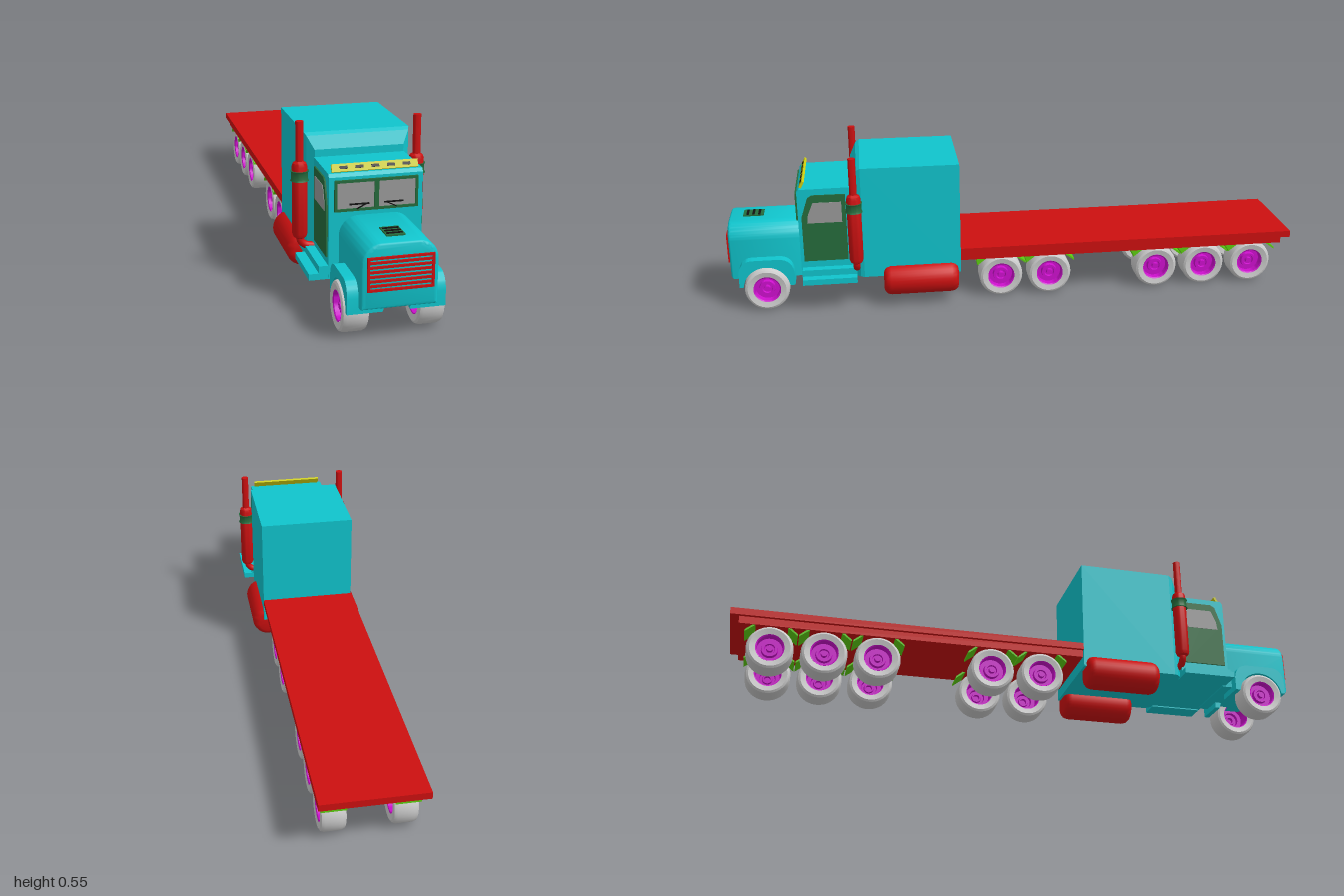
import * as THREE from 'three';
import { toCreasedNormals } from 'three/addons/utils/BufferGeometryUtils.js';

const mat = (color, side = THREE.FrontSide) => new THREE.MeshStandardMaterial({ color, side });
const CYAN = mat(0x10c4cc), RED = mat(0xcc1010), GREEN = mat(0x256b3c), YELLOW = mat(0xcccc10);
const MAGENTA = mat(0xcc10cc, THREE.DoubleSide), LIME = mat(0x5ccc10), GREY = mat(0xcccccc);
const GLASS = mat(0x999999), BLACK = mat(0x111111);
const V2 = (pts) => pts.map(([x, y]) => new THREE.Vector2(x, y));

export function createModel() {
  const truck = new THREE.Group();
  const add = (name, geo, material, x = 0, y = 0, z = 0, parent = truck) => {
    const m = new THREE.Mesh(geo, material);
    m.name = name;
    m.position.set(x, y, z);
    parent.add(m);
    return m;
  };
  // box given by its limits
  const block = (name, material, x0, x1, y0, y1, z0, z1) =>
    add(name, new THREE.BoxGeometry(x1 - x0, y1 - y0, z1 - z0), material,
      (x0 + x1) / 2, (y0 + y1) / 2, (z0 + z1) / 2);
  // side profile in (z, y), extruded across x and centred there
  const sideExtrude = (shape, width) => toCreasedNormals(
    new THREE.ExtrudeGeometry(shape, { depth: width, bevelEnabled: false, curveSegments: 12 })
      .translate(0, 0, -width / 2).rotateY(-Math.PI / 2), 0.6);
  const lathe = (pts, n = 32) => toCreasedNormals(new THREE.LatheGeometry(V2(pts), n).toNonIndexed(), 0.6);
  const frame = (w, h, t) => {
    const s = new THREE.Shape(V2([[-w, -h], [w, -h], [w, h], [-w, h]]));
    s.holes.push(new THREE.Path(V2([[-w + t, -h + t], [-w + t, h - t], [w - t, h - t], [w - t, -h + t]])));
    return new THREE.ExtrudeGeometry(s, { depth: 0.008, bevelEnabled: false });
  };

  // flatbed
  block('deck', RED, -0.168, 0.168, 0.175, 0.198, -1, 0.2);
  block('deckFrame', RED, -0.156, 0.156, 0.15, 0.176, -0.97, 0.2);

  // sleeper: rectangular sections, drawn in towards the front
  const sections = [[0.2, 0.168, 0.508], [0.535, 0.168, 0.508], [0.548, 0.163, 0.5], [0.568, 0.142, 0.46]];
  const pos = [];
  const ring = ([z, w, h]) => [[-w, 0.112, z], [w, 0.112, z], [w, h, z], [-w, h, z]];
  const quad = (a, b, c, d) => pos.push(...a, ...b, ...c, ...a, ...c, ...d);
  for (let i = 0; i < sections.length - 1; i++) {
    const a = ring(sections[i]), b = ring(sections[i + 1]);
    for (let j = 0; j < 4; j++) quad(a[j], a[(j + 1) % 4], b[(j + 1) % 4], b[j]);
  }
  const back = ring(sections[0]), front = ring(sections[3]);
  quad(back[3], back[2], back[1], back[0]);
  quad(...front);
  const sleeper = new THREE.BufferGeometry();
  sleeper.setAttribute('position', new THREE.Float32BufferAttribute(pos, 3));
  sleeper.computeVertexNormals();
  add('sleeper', sleeper, CYAN);

  // cab with a softened front roof edge
  add('cab', sideExtrude(new THREE.Shape(V2([[0.54, 0.112], [0.75, 0.112], [0.75, 0.425],
    [0.742, 0.435], [0.54, 0.437]])), 0.288), CYAN);

  // hood with arched section
  const arch = new THREE.Shape();
  arch.moveTo(-0.113, 0.108);
  arch.lineTo(0.113, 0.108);
  arch.lineTo(0.113, 0.245);
  arch.absarc(0.053, 0.245, 0.06, 0, Math.PI / 2, false);
  arch.absarc(-0.053, 0.245, 0.06, Math.PI / 2, Math.PI, false);
  add('hood', toCreasedNormals(new THREE.ExtrudeGeometry(arch, { depth: 0.235, bevelThickness: 0.012,
    bevelSize: 0.012, bevelOffset: -0.012, bevelSegments: 4, curveSegments: 10 }), 0.6), CYAN, 0, 0, 0.747);
  block('hoodVent', GREEN, -0.028, 0.028, 0.3, 0.309, 0.875, 0.945);
  for (const z of [0.89, 0.91, 0.93]) block('ventSlat', BLACK, -0.024, 0.024, 0.305, 0.311, z - 0.004, z + 0.004);

  // grille
  add('grilleFrame', frame(0.098, 0.051, 0.007), RED, 0, 0.216, 0.992);
  for (let i = 1; i < 7; i++) {
    const y = 0.168 + i * 0.0137;
    block('grilleBar', RED, -0.093, 0.093, y - 0.0035, y + 0.0035, 0.99, 0.999);
  }

  // windscreen and roof lights
  for (const s of [-1, 1]) {
    add('windscreenFrame', frame(0.0645, 0.048, 0.008), GREEN, s * 0.0635, 0.368, 0.749);
    add('windscreenPane', new THREE.BoxGeometry(0.116, 0.082, 0.004), GLASS, s * 0.0635, 0.368, 0.751);
    block('wiper', BLACK, s * 0.053 - 0.03, s * 0.053 + 0.03, 0.339, 0.343, 0.753, 0.757);
    const arm = add('wiperArm', new THREE.BoxGeometry(0.036, 0.003, 0.003), BLACK, s * 0.045, 0.334, 0.756);
    arm.rotation.z = s * -0.45;
  }
  const lights = new THREE.Group();
  lights.name = 'roofLights';
  lights.position.set(0, 0.448, 0.732);
  lights.rotation.x = -0.5;
  truck.add(lights);
  add('lightBar', new THREE.BoxGeometry(0.264, 0.024, 0.008), YELLOW, 0, 0, 0, lights);
  for (let i = -2; i <= 2; i++)
    add('lamp', new THREE.BoxGeometry(0.024, 0.009, 0.003), BLACK, i * 0.048, 0, 0.004, lights);

  // parts repeated on each side
  const door = new THREE.Shape(V2([[0.588, 0.175], [0.738, 0.175], [0.738, 0.335], [0.715, 0.405],
    [0.7, 0.414], [0.588, 0.414]]));
  const pane = new THREE.Shape(V2([[0.602, 0.315], [0.72, 0.315], [0.716, 0.345], [0.698, 0.388], [0.602, 0.388]]));
  const fender = new THREE.Shape();
  fender.moveTo(0.775, 0.088);
  fender.lineTo(0.775, 0.135);
  fender.quadraticCurveTo(0.782, 0.185, 0.83, 0.185);
  fender.lineTo(0.915, 0.185);
  fender.quadraticCurveTo(0.96, 0.185, 0.965, 0.135);
  fender.lineTo(0.965, 0.088);
  fender.absarc(0.872, 0.078, 0.08, 0.12, Math.PI - 0.12, false);
  const tank = lathe([[0, -0.13], [0.036, -0.13], [0.045, -0.127], [0.053, -0.119], [0.057, -0.106],
    [0.057, 0.106], [0.053, 0.119], [0.045, 0.127], [0.036, 0.13], [0, 0.13]]).rotateX(Math.PI / 2);
  const muffler = lathe([[0, 0.176], [0.013, 0.176], [0.02, 0.181], [0.024, 0.192], [0.024, 0.41],
    [0.021, 0.42], [0.0125, 0.426], [0.0125, 0.552], [0, 0.552]], 24);
  const band = lathe([[0.024, 0.364], [0.029, 0.364], [0.026, 0.37], [0.026, 0.39], [0.029, 0.396], [0.024, 0.396]], 24);
  for (const s of [-1, 1]) {
    add('door', sideExtrude(door, 0.01), GREEN, s * 0.144, 0, 0);
    add('doorWindow', sideExtrude(pane, 0.01), GLASS, s * 0.1455, 0, 0);
    add('fender', sideExtrude(fender, 0.106), CYAN, s * 0.093, 0, 0);
    add('lowerStep', new THREE.BoxGeometry(0.07, 0.02, 0.185), CYAN, s * 0.168, 0.118, 0.653);
    add('upperStep', new THREE.BoxGeometry(0.035, 0.025, 0.185), CYAN, s * 0.155, 0.138, 0.653);
    add('fuelTank', tank, RED, s * 0.15, 0.094, 0.339);
    add('exhaustStack', muffler, RED, s * 0.188, 0, 0.56);
    add('exhaustBand', band, GREEN, s * 0.188, 0, 0.56);
    const elbow = new THREE.CatmullRomCurve3([[0.188, 0.185], [0.186, 0.168], [0.172, 0.153], [0.14, 0.147]]
      .map(([x, y]) => new THREE.Vector3(s * x, y, 0.56)));
    add('exhaustElbow', new THREE.TubeGeometry(elbow, 16, 0.012, 16), RED);
  }

  // wheels: outer face towards +x before turning
  const onAxle = (pts) => lathe(pts, 36).rotateZ(-Math.PI / 2);
  const tire = onAxle([[0.047, -0.036], [0.066, -0.04], [0.073, -0.036], [0.077, -0.026],
    [0.077, 0.026], [0.073, 0.036], [0.066, 0.04], [0.047, 0.036], [0.047, -0.036]]);
  const rim = onAxle([[0.047, -0.036], [0.044, -0.034], [0.042, 0.012], [0.028, 0.012], [0.026, 0.024],
    [0.018, 0.024], [0.016, 0.018], [0.011, 0.018], [0.01, 0.03], [0, 0.03]]);
  const lip = onAxle([[0.042, 0.012], [0.043, 0.034], [0.047, 0.037]]);
  const guard = new THREE.Shape(V2([[-0.086, 0.124], [-0.045, 0.156], [0.045, 0.156], [0.086, 0.124],
    [0.086, 0.131], [0.047, 0.163], [-0.047, 0.163], [-0.086, 0.131]]));
  const guardGeo = sideExtrude(guard, 0.08);
  for (const z of [0.872, 0.055, -0.12, -0.51, -0.687, -0.863]) for (const s of [-1, 1]) {
    const wheel = new THREE.Group();
    wheel.name = z > 0.5 ? 'frontWheel' : 'rearWheel';
    wheel.position.set(s * (z > 0.5 ? 0.114 : 0.11), 0.077, z);
    wheel.rotation.y = s > 0 ? 0 : Math.PI;
    truck.add(wheel);
    add('tire', tire, GREY, 0, 0, 0, wheel);
    add('rim', rim, MAGENTA, 0, 0, 0, wheel);
    add('rimLip', lip, MAGENTA, 0, 0, 0, wheel);
    if (z < 0.5) add('mudguard', guardGeo, LIME, s * 0.112, 0, z);
  }
  return truck;
}
